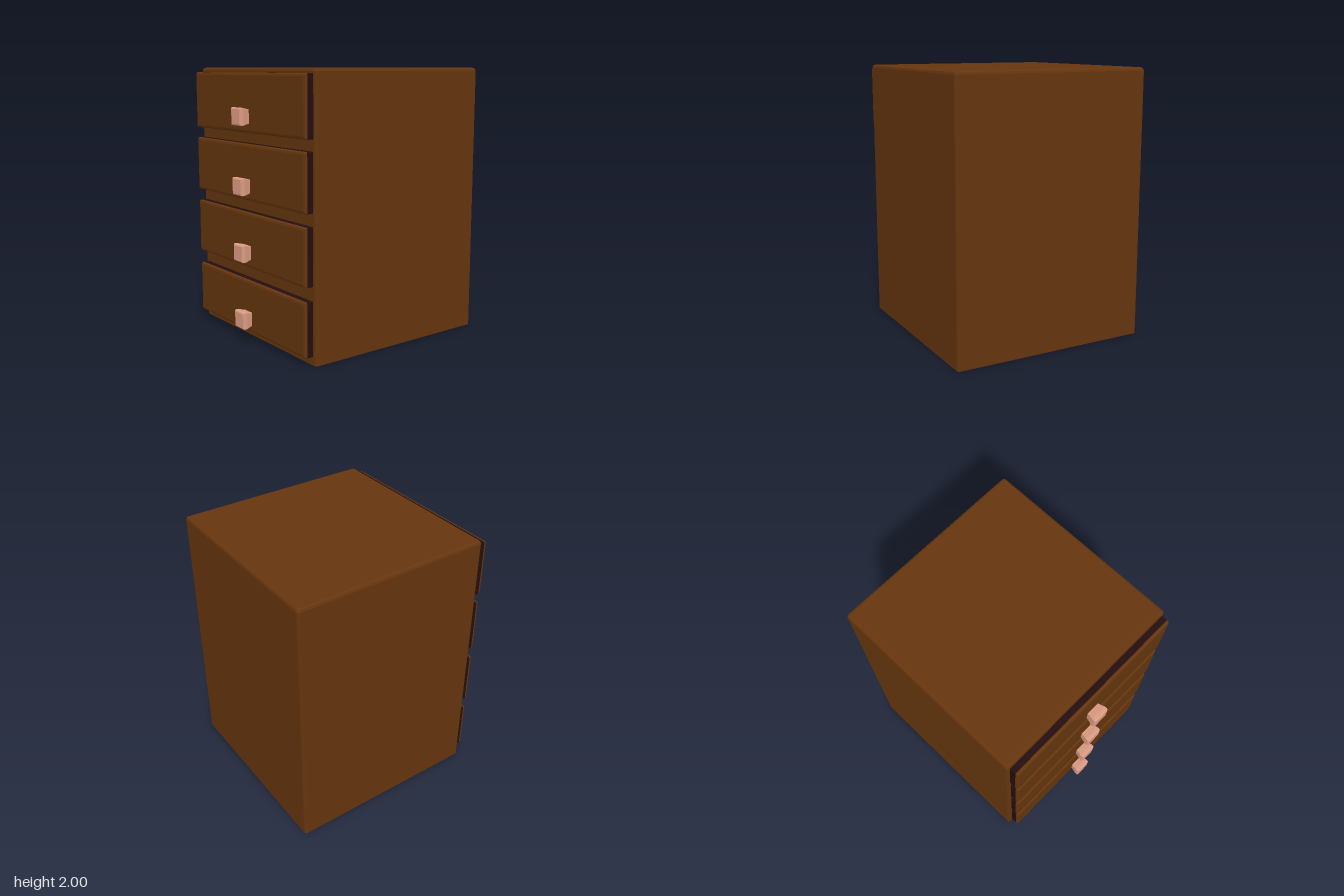
import * as THREE from 'three';

const wood = new THREE.MeshStandardMaterial({ name: 'brown wood', color: 0x65350e });
const shade = new THREE.MeshStandardMaterial({ name: 'dark drawer edge', color: 0x240e0e });
const knobPaint = new THREE.MeshStandardMaterial({ name: 'pale copper', color: 0xdc9c84 });

// Outline of a rectangle with rounded corners, counter-clockwise.
function outline(halfW, halfH, r, steps = 3) {
  const pts = [];
  for (let c = 0; c < 4; c++) {
    const sx = c === 0 || c === 3 ? 1 : -1;
    const sy = c < 2 ? 1 : -1;
    for (let i = 0; i <= steps; i++) {
      const a = (c + i / steps) * Math.PI / 2;
      pts.push([sx * (halfW - r) + r * Math.cos(a), sy * (halfH - r) + r * Math.sin(a)]);
    }
  }
  return pts;
}

// Faceted solid through sections [z, halfWidth, halfHeight, cornerRadius], back to front.
function loft(sections, capBack = true, capFront = true) {
  const pos = [], idx = [];
  const n = outline(1, 1, 0.1).length;
  for (const [z, w, h, r] of sections) {
    for (const [x, y] of outline(w, h, r)) pos.push(x, y, z);
  }
  for (let s = 0; s < sections.length - 1; s++) {
    for (let i = 0; i < n; i++) {
      const a = s * n + i, b = s * n + (i + 1) % n;
      idx.push(a, b, b + n, a, b + n, a + n);
    }
  }
  const last = (sections.length - 1) * n;
  for (let i = 1; i < n - 1; i++) {
    if (capBack) idx.push(0, i + 1, i);
    if (capFront) idx.push(last, last + i, last + i + 1);
  }
  const g = new THREE.BufferGeometry();
  g.setAttribute('position', new THREE.Float32BufferAttribute(pos, 3));
  g.setIndex(idx);
  const flat = g.toNonIndexed();
  flat.computeVertexNormals();
  return flat;
}

function part(name, geometry, material, parent) {
  const mesh = new THREE.Mesh(geometry, material);
  mesh.name = name;
  parent.add(mesh);
  return mesh;
}

export function createModel() {
  const model = new THREE.Group();
  model.name = 'chestOfDrawers';

  // Cabinet: flat base, rounded uprights and top rim
  const body = loft([
    [0, 0.753, 0.753, 0.02],
    [1.978, 0.753, 0.753, 0.02],
    [1.993, 0.747, 0.747, 0.02],
    [2, 0.733, 0.733, 0.015],
  ]);
  body.rotateX(-Math.PI / 2);
  part('cabinet', body, wood, model).position.z = -0.075;

  // Drawers: bottom, top, half width, knob height
  const drawers = [
    [0.058, 0.45, 0.718, 0.165],
    [0.55, 0.96, 0.723, 0.667],
    [1.05, 1.46, 0.725, 1.157],
    [1.54, 1.965, 0.73, 1.658],
  ];
  for (const [y0, y1, w, knobY] of drawers) {
    const drawer = new THREE.Group();
    drawer.name = 'drawer';
    model.add(drawer);
    const y = (y0 + y1) / 2, h = (y1 - y0) / 2;

    // Dark sides behind the wooden face
    const sides = loft([[0.67, w, h, 0.008], [0.724, w, h, 0.008]], true, false);
    part('drawerSides', sides, shade, drawer).position.y = y;

    const face = loft([
      [0.724, w, h, 0.008],
      [0.734, w, h, 0.008],
      [0.743, w - 0.006, h - 0.006, 0.008],
      [0.747, w - 0.02, h - 0.02, 0.005],
    ], false);
    part('drawerFace', face, wood, drawer).position.y = y;

    // Knob flares outward and has a softened front edge
    const knob = loft([
      [0.74, 0.05, 0.05, 0.004],
      [0.765, 0.055, 0.055, 0.004],
      [0.795, 0.063, 0.063, 0.004],
      [0.815, 0.064, 0.064, 0.004],
      [0.824, 0.061, 0.061, 0.004],
      [0.828, 0.053, 0.053, 0.004],
    ]);
    part('knob', knob, knobPaint, drawer).position.y = knobY;
  }
  return model;
}
